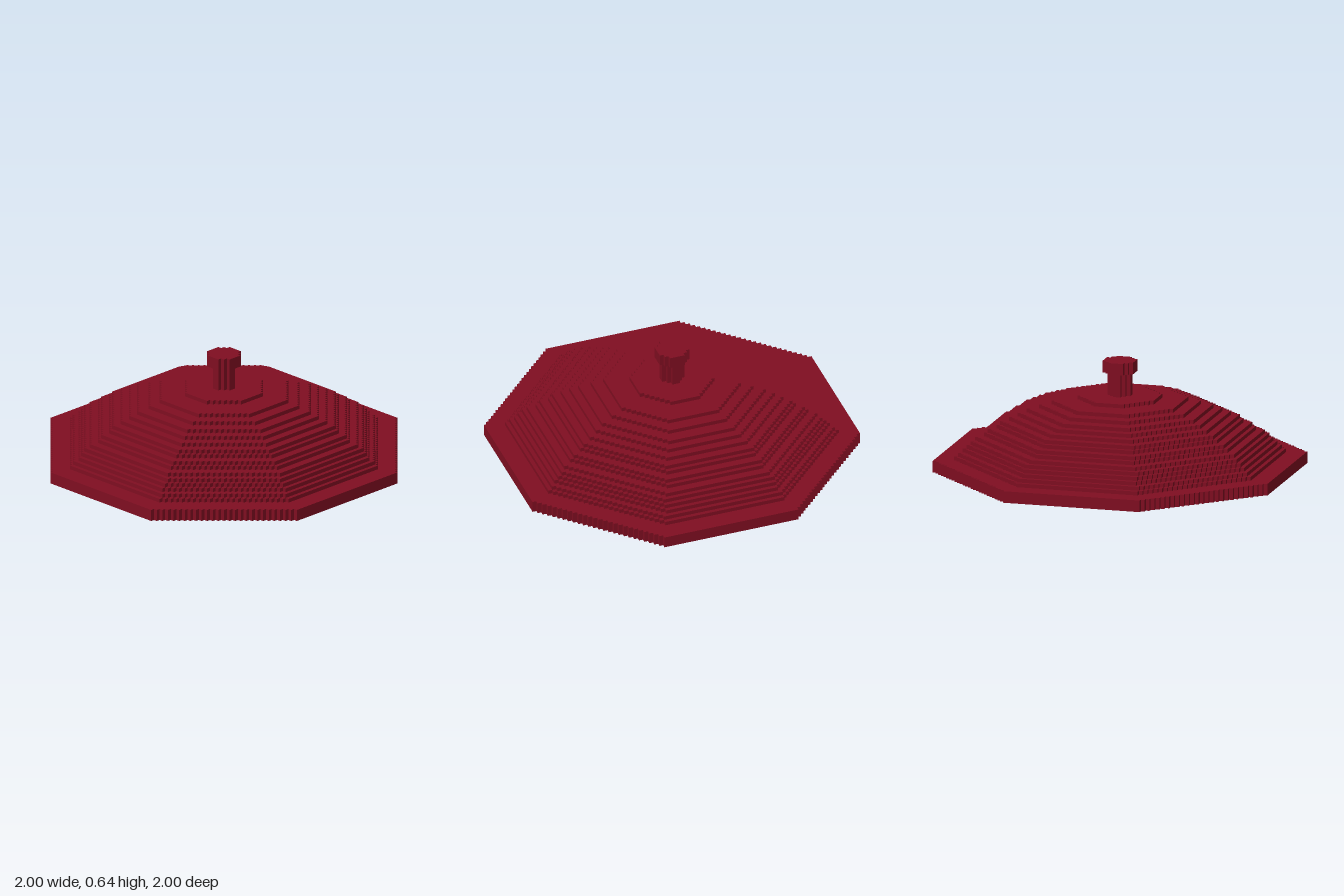
import * as THREE from 'three';
import { mergeGeometries } from 'three/addons/utils/BufferGeometryUtils.js';

const U = 2 / 88; // edge of one block

// Outline of an octagon snapped to the block grid, with half width a in blocks
function octagon(a) {
  const cut = Math.floor(Math.SQRT2 * (a - 0.25));
  const quarter = [];
  let width = a;
  for (let i = 0; i < a; i++) {
    const w = Math.min(a, cut - i);
    if (w !== width) quarter.push([width, i], [w, i]);
    width = w;
  }
  quarter.push([width, a]);
  const points = [];
  for (let q = 0; q < 4; q++) {
    for (const [x, y] of quarter) {
      const [px, py] = [[x, y], [-y, x], [-x, -y], [y, -x]][q];
      points.push(new THREE.Vector2(px * U, py * U));
    }
  }
  return points;
}

// Flat slab starting at a given layer, optionally with an octagonal hole
function slab(outer, inner, layer, layers = 1) {
  const shape = new THREE.Shape(octagon(outer));
  if (inner > 0) shape.holes.push(new THREE.Path(octagon(inner)));
  const g = new THREE.ExtrudeGeometry(shape, { depth: layers * U, bevelEnabled: false });
  return g.rotateX(-Math.PI / 2).translate(0, layer * U, 0);
}

// Half width of the hollow below the dome, following a sphere
function hollow(layer) {
  const s = 52 * 52 - (layer + 35.5) ** 2;
  return s > 0 ? Math.round(Math.sqrt(s)) : 0;
}

export function createModel() {
  const group = new THREE.Group();
  const red = new THREE.MeshStandardMaterial({ color: 0x800e21 });
  red.name = 'darkRed';
  const add = (name, geometries) => {
    const mesh = new THREE.Mesh(mergeGeometries(geometries), red);
    mesh.name = name;
    group.add(mesh);
  };

  // Broad flat rim
  add('rim', [0, 1, 2].map((k) => slab(44, hollow(k), k)));

  // Stepped hollow dome
  const steps = [39, 38, 37, 36, 35, 34, 32, 31, 29, 28, 26, 24, 22, 19, 16, 10];
  add('dome', steps.map((a, i) => slab(a, hollow(i + 3), i + 3)));

  // Knob on top
  add('knobStem', [slab(3, 0, 19, 6)]);
  add('knobCap', [slab(4, 0, 25, 3)]);

  return group;
}
